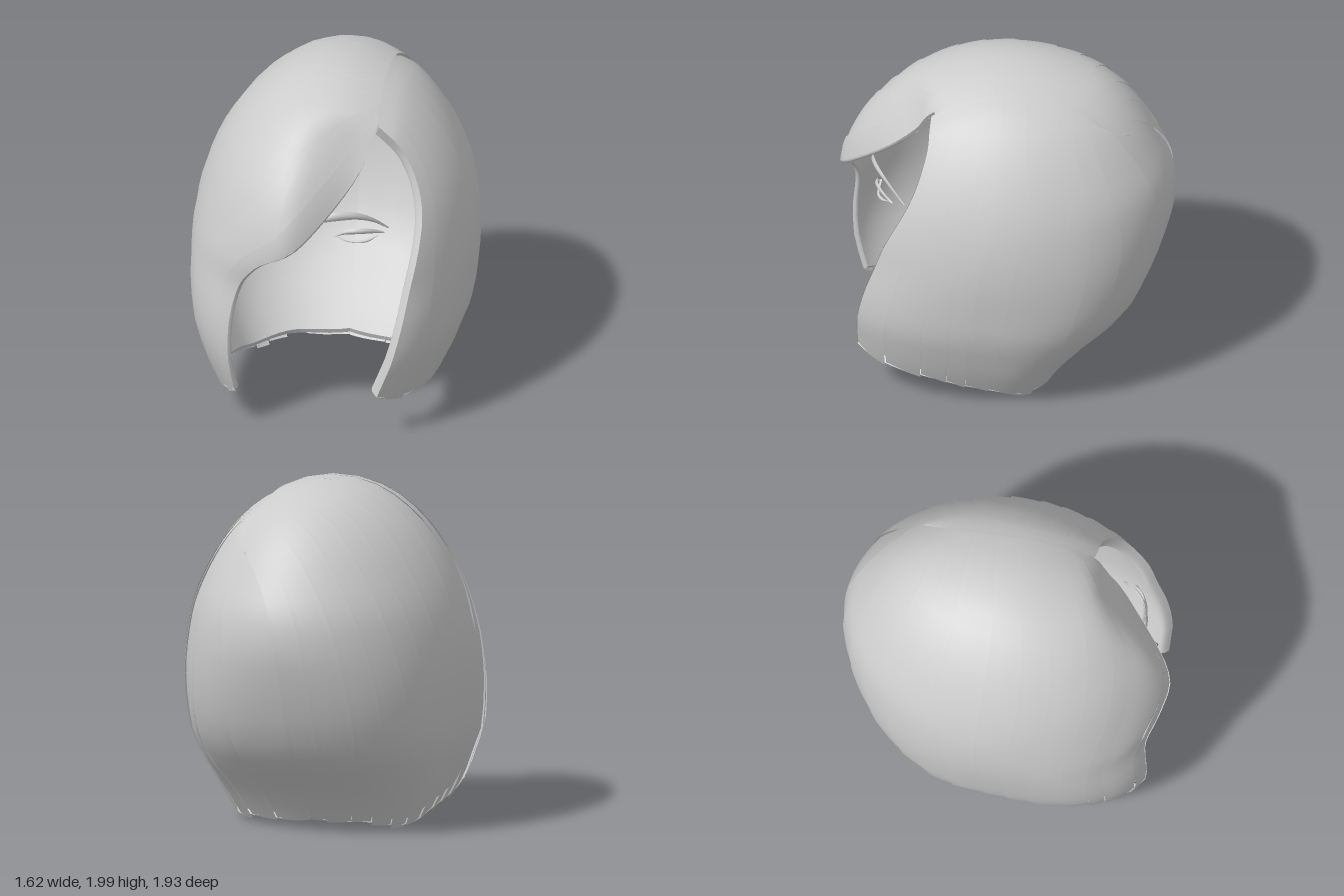
import * as THREE from 'three';

const hairGrey = new THREE.MeshStandardMaterial({ color: 0xcccccc, side: THREE.DoubleSide });
hairGrey.name = 'hairGrey';

// Head profile: height, half width, front depth, back depth
const PROFILE = [
  [0, .53, .8, .3], [.1, .59, .88, .36], [.25, .67, .94, .49], [.4, .725, .97, .66],
  [.5, .765, .98, .75], [.7, .79, .97, .85], [.9, .805, .95, .92], [1.1, .795, .98, .965],
  [1.3, .755, .95, .95], [1.5, .675, .86, .86], [1.7, .55, .7, .735], [1.85, .4, .53, .575],
  [1.95, .24, .3, .34], [2, 0, 0, 0],
];
const CENTRE = new THREE.Vector3(0, .95, 0);
const smooth = THREE.MathUtils.smoothstep;

// Hermite interpolation of the squared radius keeps the crown round
function profile(y, k) {
  const n = PROFILE.length;
  y = THREE.MathUtils.clamp(y, 0, 2);
  let i = 0;
  while (i < n - 2 && PROFILE[i + 1][0] < y) i++;
  const sq = j => PROFILE[j][k] ** 2;
  const slope = j => {
    const a = Math.max(0, j - 1), b = Math.min(n - 1, j + 1);
    return (sq(b) - sq(a)) / (PROFILE[b][0] - PROFILE[a][0]);
  };
  const h = PROFILE[i + 1][0] - PROFILE[i][0], t = (y - PROFILE[i][0]) / h;
  const t2 = t * t, t3 = t2 * t;
  const v = (2 * t3 - 3 * t2 + 1) * sq(i) + (t3 - 2 * t2 + t) * h * slope(i)
    + (3 * t2 - 2 * t3) * sq(i + 1) + (t3 - t2) * h * slope(i + 1);
  return Math.sqrt(Math.max(v, 1e-5));
}

function inside(p) {
  if (p.y > 2) return false;
  // Front corners are fuller low down, most of all under the fringe
  const corner = p.z > 0 ? (p.x < 0 ? .65 : .2) : 0;
  const n = 2 + .3 * (1 - smooth(p.y, .6, 1.2)) + corner * (1 - smooth(p.y, .6, 1.4));
  return (Math.abs(p.x) / profile(p.y, 1)) ** n
    + (Math.abs(p.z) / profile(p.y, p.z > 0 ? 2 : 3)) ** n < 1;
}

// Push a point along its ray from the centre onto the head surface
function project(p, scale, isFringe) {
  const d = p.clone().sub(CENTRE).normalize(), q = new THREE.Vector3();
  let lo = 0, hi = 2;
  for (let i = 0; i < 22; i++) {
    const m = (lo + hi) / 2;
    if (inside(q.copy(CENTRE).addScaledVector(d, m))) lo = m; else hi = m;
  }
  q.copy(CENTRE).addScaledVector(d, lo * scale);
  if (isFringe) q.z *= 1 - .2 * smooth(q.x, -.15, .25) * smooth(q.z, .35, .65);
  return q;
}

// Guide strands, each from the parting down to the hem, ordered front to back
const BACK = [.34, 1.72, -.68, .18, 1.6, -.8, .02, 1.35, -.92, -.05, 1.05, -.96, -.05, .55, -.72, 0, -.01, -.32];
const RIGHT = [
  [.33, 1.84, .42, .22, 1.51, .72, -.03, 1.23, .95, -.29, 1.07, .93, -.42, .82, .88, -.42, .2, .83],
  [.31, 1.9, .25, -.1, 1.75, .6, -.42, 1.4, .65, -.6, 1.1, .6, -.68, .75, .6, -.55, .16, .6],
  [.29, 1.95, 0, -.3, 1.85, .2, -.6, 1.5, .25, -.76, 1.1, .2, -.76, .65, .2, -.58, .09, .25],
  [.28, 1.93, -.3, -.25, 1.85, -.3, -.55, 1.5, -.35, -.72, 1.1, -.3, -.7, .6, -.2, -.5, .05, -.05],
  [.3, 1.87, -.5, -.05, 1.75, -.6, -.35, 1.45, -.75, -.5, 1.1, -.75, -.5, .6, -.55, -.33, .01, -.25],
  BACK,
];
const LEFT = [
  [.33, 1.8, .42, .49, 1.63, .43, .575, 1.34, .5, .57, 1, .67, .51, .65, .78, .4, .24, .84],
  [.31, 1.9, .25, .5, 1.7, .25, .65, 1.4, .3, .72, 1, .4, .71, .6, .47, .58, .15, .5],
  [.29, 1.95, 0, .5, 1.78, 0, .68, 1.4, 0, .8, 1, .1, .76, .6, .15, .58, .09, .2],
  [.28, 1.93, -.3, .5, 1.7, -.3, .66, 1.4, -.35, .74, 1, -.3, .7, .55, -.2, .52, .05, -.05],
  [.3, 1.87, -.5, .42, 1.7, -.57, .5, 1.4, -.65, .52, 1.05, -.7, .5, .55, -.5, .35, .01, -.25],
  BACK,
];

const curve = pts => new THREE.CatmullRomCurve3(pts, false, 'catmullrom', .5);
function toCurve(flat) {
  const pts = [];
  for (let i = 0; i < flat.length; i += 3) pts.push(new THREE.Vector3().fromArray(flat, i));
  return curve(pts);
}

// Surface from a function of (u, v)
function sheet(fn, nu, nv, name) {
  const pos = [], idx = [];
  for (let i = 0; i <= nu; i++) for (let j = 0; j <= nv; j++) {
    pos.push(...fn(i / nu, j / nv).toArray());
    if (i < nu && j < nv) {
      const a = i * (nv + 1) + j, b = a + nv + 1;
      idx.push(a, a + 1, b, b, a + 1, b + 1);
    }
  }
  const g = new THREE.BufferGeometry();
  g.setAttribute('position', new THREE.Float32BufferAttribute(pos, 3));
  g.setIndex(idx);
  g.computeVertexNormals();
  const mesh = new THREE.Mesh(g, hairGrey);
  mesh.name = name;
  return mesh;
}

let seed = 7;
const rand = () => (seed = (seed * 16807) % 2147483647) / 2147483647;

// One side of the hair: overlapping locks, lining and rolled rims
function panel(guides, locks, isFringe, name) {
  const group = new THREE.Group();
  group.name = name;
  const strands = guides.map(toCurve);
  const rows = new Map();
  const at = (u, v, scale) => {
    if (!rows.has(v)) rows.set(v, curve(strands.map(s => s.getPoint(v))));
    return project(rows.get(v).getPoint(u), scale, isFringe);
  };
  // Uneven lock widths
  const edges = Array.from({ length: locks + 1 }, (_, k) =>
    (k === 0 || k === locks ? k : k + .5 * (rand() - .5)) / locks);
  for (let k = 0; k < locks; k++) {
    const trim = .994 - .01 * rand();
    group.add(sheet((u, v) => {
      const lift = .01 * (u - .5) * smooth(v, .05, .4);
      // The left side sinks slightly at the parting
      const sink = isFringe ? 0 : .015 * (1 - smooth(v, 0, .12));
      return at(THREE.MathUtils.lerp(edges[k], edges[k + 1], u), v * trim, 1 + lift - sink);
    }, 5, 24, 'lock'));
  }
  const inner = .968, lip = isFringe ? inner : .925;
  group.add(sheet((u, v) => at(u, v * .985, inner), 32, 24, 'lining'));
  // Rounded lip along the front opening, wider on the uncovered side
  group.add(sheet((w, v) => {
    const p = at(0, v * .985, 1 - (1 - lip) * w);
    p.x += (isFringe ? .01 : -.02) * Math.sin(Math.PI * w) * smooth(v, .1, .4);
    return p;
  }, 5, 28, 'frontLip'));
  group.add(sheet((u, w) => at(u, .985, 1 - (1 - inner) * w), 32, 2, 'hemLip'));
  return group;
}

// Thin band between an upper and a lower curve
function band(top, bottom, name) {
  const a = toCurve(top), b = toCurve(bottom);
  return sheet((u, v) => {
    const p = a.getPoint(u).lerp(b.getPoint(u), v);
    p.z += .012 * Math.sin(Math.PI * v);
    return p;
  }, 18, 4, name);
}

export function createModel() {
  const model = new THREE.Group();
  model.name = 'bobHair';
  model.add(panel(RIGHT, 14, true, 'sweptRightSide'));
  model.add(panel(LEFT, 10, false, 'leftSide'));

  // Eyebrow and eyelids on the uncovered side
  model.add(band(
    [.08, 1.36, .75, .15, 1.395, .755, .26, 1.39, .72, .35, 1.33, .65, .42, 1.235, .56],
    [.075, 1.32, .75, .15, 1.34, .755, .26, 1.345, .72, .34, 1.305, .65, .415, 1.23, .56], 'eyebrow'));
  model.add(band(
    [.13, 1.22, .71, .19, 1.27, .725, .27, 1.29, .725, .35, 1.28, .69, .41, 1.24, .63],
    [.13, 1.215, .71, .2, 1.245, .725, .27, 1.255, .725, .34, 1.25, .69, .41, 1.235, .63], 'upperEyelid'));
  model.add(band(
    [.14, 1.225, .705, .2, 1.214, .715, .27, 1.21, .715, .33, 1.217, .69, .38, 1.23, .65],
    [.14, 1.22, .705, .2, 1.197, .715, .27, 1.192, .715, .33, 1.197, .69, .38, 1.225, .65], 'lowerEyelid'));
  return model;
}
